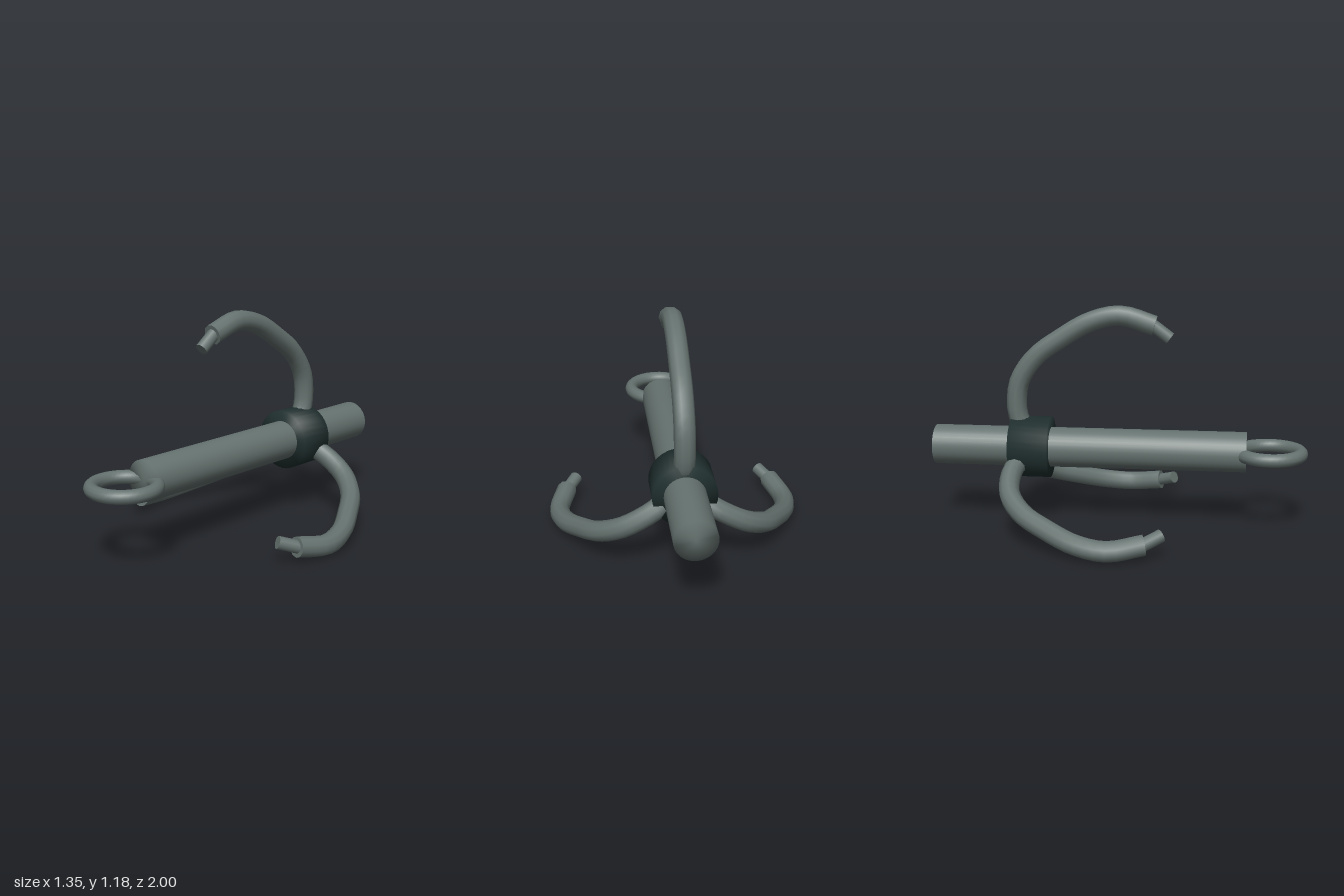
import * as THREE from 'three';
import { mergeVertices } from 'three/addons/utils/BufferGeometryUtils.js';

const AXIS_Y = 0.415;

export function createModel() {
  const model = new THREE.Group();
  model.name = 'grapplingHook';

  const steel = new THREE.MeshStandardMaterial({ color: 0x65726f });
  steel.name = 'grey steel';
  const darkSteel = new THREE.MeshStandardMaterial({ color: 0x20302f });
  darkSteel.name = 'dark steel';

  function add(parent, name, geometry, material) {
    const mesh = new THREE.Mesh(geometry, material);
    mesh.name = name;
    parent.add(mesh);
    return mesh;
  }

  // Cylinder along z whose caps share normals with the side, for soft rims
  function softRod(radius, z0, z1) {
    const g = new THREE.CylinderGeometry(radius, radius, z1 - z0, 32);
    g.rotateX(Math.PI / 2);
    g.translate(0, 0, (z0 + z1) / 2);
    g.deleteAttribute('normal');
    g.deleteAttribute('uv');
    const soft = mergeVertices(g);
    soft.computeVertexNormals();
    return soft;
  }

  const body = new THREE.Group();
  body.name = 'body';
  body.position.y = AXIS_Y;
  model.add(body);

  // Shaft and the collar holding the arms
  add(body, 'shaft', softRod(0.107, -1, 0.675), steel);
  add(body, 'collar', softRod(0.164, -0.58, -0.37), darkSteel);

  // Rope ring at the front, lying flat
  const ring = add(body, 'ropeRing', new THREE.TorusGeometry(0.162, 0.036, 12, 40), steel);
  ring.rotation.x = Math.PI / 2;
  ring.position.z = 0.8;

  // Arm centre line as [distance from axis, z]
  const path = [
    [0.08, -0.5], [0.15, -0.54], [0.235, -0.553], [0.36, -0.535], [0.489, -0.449],
    [0.588, -0.316], [0.681, -0.155], [0.716, 0.005], [0.665, 0.185],
  ].map(([r, z]) => new THREE.Vector3(0, r, z));
  const curve = new THREE.CatmullRomCurve3(path);
  const armGeometry = new THREE.TubeGeometry(curve, 24, 0.054, 10);
  const end = path[path.length - 1];
  const endDirection = curve.getTangent(1);
  const capGeometry = new THREE.CircleGeometry(0.054, 10);

  // Narrow tip bent inwards from the end of the arm
  const tipStart = new THREE.Vector3(0, 0.675, 0.165);
  const tipEnd = new THREE.Vector3(0, 0.6, 0.265);
  const tipDirection = tipEnd.clone().sub(tipStart);
  const tipGeometry = new THREE.CylinderGeometry(0.034, 0.034, tipDirection.length(), 12);
  tipDirection.normalize();

  // Three arms evenly spaced about the shaft
  for (let i = 0; i < 3; i++) {
    const arm = new THREE.Group();
    arm.name = ['topArm', 'rightArm', 'leftArm'][i];
    arm.rotation.z = (i * Math.PI * 2) / 3;
    body.add(arm);

    add(arm, 'armTube', armGeometry, steel);
    const cap = add(arm, 'armEnd', capGeometry, steel);
    cap.position.copy(end);
    cap.quaternion.setFromUnitVectors(new THREE.Vector3(0, 0, 1), endDirection);
    const tip = add(arm, 'armTip', tipGeometry, steel);
    tip.position.copy(tipStart).lerp(tipEnd, 0.5);
    tip.quaternion.setFromUnitVectors(new THREE.Vector3(0, 1, 0), tipDirection);
  }

  return model;
}
